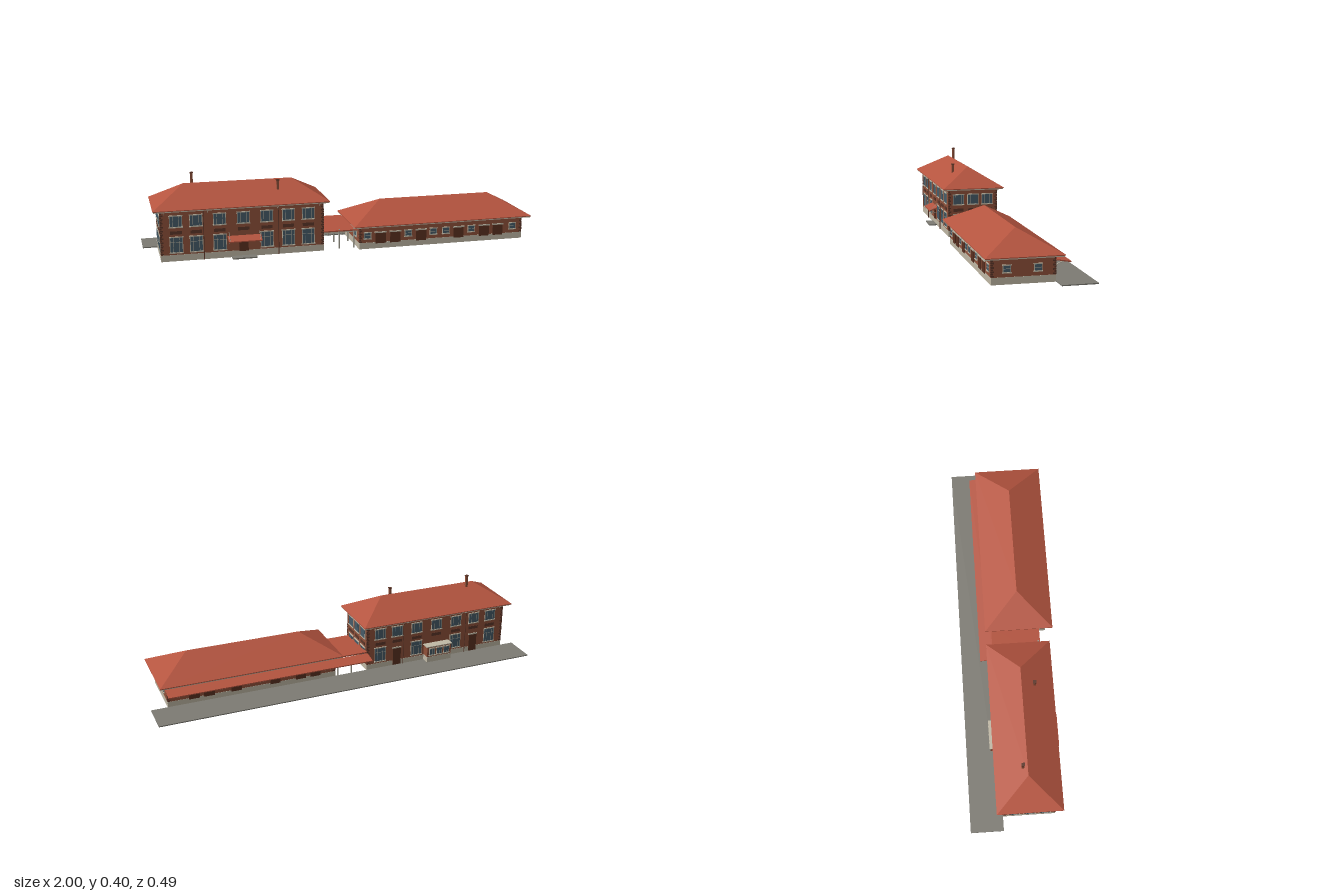
import * as THREE from 'three';

const mat = (name, color) => Object.assign(new THREE.MeshStandardMaterial({ color }), { name });

export function createModel() {
  const brick = mat('brick', 0x8f5039), roofRed = mat('roof red', 0xb4543f), dark = mat('dark brick', 0x5c3629),
    stone = mat('stone trim', 0xc0b8a5), glass = mat('window glass', 0x465b68), door = mat('door brown', 0x5a3020),
    paving = mat('platform paving', 0x7d7b73), metal = mat('painted metal', 0x9a978b);

  const root = new THREE.Group();
  root.name = 'station';

  const group = (name, parent = root) => {
    const g = new THREE.Group();
    g.name = name;
    parent.add(g);
    return g;
  };
  // Box given by its minimum and maximum corners
  const box = (parent, name, m, x0, x1, y0, y1, z0, z1) => {
    const mesh = new THREE.Mesh(new THREE.BoxGeometry(x1 - x0, y1 - y0, z1 - z0), m);
    mesh.position.set((x0 + x1) / 2, (y0 + y1) / 2, (z0 + z1) / 2);
    mesh.name = name;
    parent.add(mesh);
    return mesh;
  };
  // Round bar between two points
  const bar = (parent, name, m, a, b, r) => {
    const p = new THREE.Vector3(...a), q = new THREE.Vector3(...b), d = q.clone().sub(p);
    const mesh = new THREE.Mesh(new THREE.CylinderGeometry(r, r, d.length(), 8), m);
    mesh.position.copy(p).add(q).multiplyScalar(0.5);
    mesh.quaternion.setFromUnitVectors(new THREE.Vector3(0, 1, 0), d.normalize());
    mesh.name = name;
    parent.add(mesh);
  };
  // Thin sloped slab between two z positions, each with its own top height
  const slab = (parent, name, m, x0, x1, z0, y0, z1, y1, t) => {
    const s = new THREE.Shape([[z0, y0], [z0, y0 - t], [z1, y1 - t], [z1, y1]].map(p => new THREE.Vector2(-p[0], p[1])));
    const g = new THREE.ExtrudeGeometry(s, { depth: x1 - x0, bevelEnabled: false });
    g.rotateY(Math.PI / 2).translate(x0, 0, 0);
    const mesh = new THREE.Mesh(g, m);
    mesh.name = name;
    parent.add(mesh);
  };
  // Hipped roof with lip, fascia and soffit
  const hipRoof = (parent, x0, x1, z0, z1, y, top, rx0, rx1) => {
    const zr = (z0 + z1) / 2;
    const a = [x0, y, z1], b = [x1, y, z1], c = [x1, y, z0], d = [x0, y, z0], e = [rx0, top, zr], f = [rx1, top, zr];
    const g = new THREE.BufferGeometry();
    const tris = [a, b, f, a, f, e, c, d, e, c, e, f, b, c, f, d, a, e];
    g.setAttribute('position', new THREE.Float32BufferAttribute(tris.flat(), 3));
    g.computeVertexNormals();
    const mesh = new THREE.Mesh(g, roofRed);
    mesh.name = 'hippedRoof';
    parent.add(mesh);
    box(parent, 'roofLip', roofRed, x0, x1, y - 0.004, y, z0, z1);
    box(parent, 'fasciaAndSoffit', stone, x0 + 0.003, x1 - 0.003, y - 0.009, y - 0.004, z0 + 0.003, z1 - 0.003);
  };
  // Wall group whose local x runs along the wall and local z points outward
  const wall = (parent, name, x, z, turn) => {
    const g = group(name, parent);
    g.position.set(x, 0, z);
    g.rotation.y = turn * Math.PI / 2;
    return g;
  };
  // Window: stone frame with panes, cols and rows as fractions
  const windowAt = (w, u, y0, y1, width, cols, rows) => {
    const g = group('window', w), bar = 0.0045;
    box(g, 'windowFrame', stone, u - width / 2, u + width / 2, y0, y1, -0.002, 0.0025);
    box(g, 'windowSill', stone, u - width / 2 - 0.002, u + width / 2 + 0.002, y0 - 0.003, y0 + 0.002, -0.002, 0.005);
    box(g, 'windowLintel', stone, u - width / 2 - 0.002, u + width / 2 + 0.002, y1 - 0.003, y1 + 0.002, -0.002, 0.004);
    let x = u - width / 2 + bar / 2;
    for (const c of cols) {
      const cw = c * (width - bar);
      let y = y0 + bar / 2;
      for (const r of rows) {
        const rh = r * (y1 - y0 - bar);
        box(g, 'pane', glass, x + bar / 4, x + cw - bar / 4, y + bar / 4, y + rh - bar / 4, 0, 0.0035);
        y += rh;
      }
      x += cw;
    }
  };
  const doorAt = (w, u, y0, y1, width) => {
    const g = group('door', w);
    box(g, 'doorLeaf', door, u - width / 2, u + width / 2, y0, y1, -0.002, 0.003);
    box(g, 'doorLintel', stone, u - width / 2 - 0.004, u + width / 2 + 0.004, y1, y1 + 0.007, -0.002, 0.004);
  };
  // Block with stone base, brick walls and toothed corners
  const block = (parent, x0, x1, z0, z1, top) => {
    box(parent, 'stoneBase', stone, x0 - 0.001, x1 + 0.001, 0, 0.032, z0 - 0.001, z1 + 0.001);
    box(parent, 'brickWalls', brick, x0, x1, 0.032, top, z0, z1);
    const e = 0.0015;
    for (let i = 0, y = 0.034; y + 0.008 < top; i++, y += 0.0095) {
      const l = i % 2 ? 0.009 : 0.015;
      for (const x of [x0 - e, x1 + e - l]) for (const z of [z0 - e, z1 + e - l])
        box(parent, 'cornerBlock', dark, x, x + l, y, y + 0.0075, z, z + l);
    }
  };

  const three = [0.25, 0.5, 0.25];

  // Two-storey building
  const main = group('mainBuilding');
  const X0 = -0.927, X1 = -0.131, Z0 = -0.077, Z1 = 0.182, XC = (X0 + X1) / 2, ZC = (Z0 + Z1) / 2;
  block(main, X0, X1, Z0, Z1, 0.249);
  hipRoof(main, -0.96, -0.104, -0.109, 0.2125, 0.257, 0.352, -0.80, -0.265);
  const bays = [-0.324, -0.228, -0.115, 0, 0.115, 0.222, 0.321];
  const mainFront = wall(main, 'mainFrontWall', XC, Z1, 0), mainBack = wall(main, 'mainBackWall', XC, Z0, 2);
  for (const w of [mainFront, mainBack]) {
    bays.forEach((u, i) => {
      windowAt(w, u, 0.168, 0.225, 0.062, three, [1]);
      box(w, 'brickPanel', dark, u - 0.028, u + 0.028, 0.133, 0.149, -0.002, 0.002);
      if (i === 3) {
        if (w === mainFront) doorAt(w, u, 0.028, 0.086, 0.046);
      } else if (w === mainBack && (i === 1 || i === 5)) doorAt(w, u, 0.006, 0.1, 0.045);
      else windowAt(w, u, 0.042, 0.12, 0.064, three, [0.68, 0.32]);
    });
    for (const u of [-0.193, 0.172]) bar(w, 'downspout', dark, [u, 0, 0.004], [u, 0.248, 0.004], 0.002);
  }
  for (const [x, turn] of [[X1, 1], [X0, 3]]) {
    const w = wall(main, 'mainEndWall', x, ZC, turn);
    for (const u of [-0.077, 0, 0.077]) {
      windowAt(w, u, 0.17, 0.224, 0.06, three, [1]);
      windowAt(w, u, 0.045, 0.12, 0.056, three, [0.68, 0.32]);
      box(w, 'brickPanel', dark, u - 0.026, u + 0.026, 0.133, 0.149, -0.002, 0.002);
    }
  }
  // Eave struts
  for (const x of [X0 + 0.02, -0.7, -0.36, X1 - 0.02]) for (const [z, s] of [[Z0, -1], [Z1, 1]])
    bar(main, 'eaveStrut', stone, [x, 0.232, z], [x, 0.248, z + s * 0.024], 0.002);

  // Chimneys
  for (const [x, z, y0, y1] of [[-0.756, 0.029, 0.31, 0.4], [-0.345, 0.116, 0.29, 0.36]]) {
    const g = group('chimney', main);
    box(g, 'chimneyStack', brick, x - 0.006, x + 0.006, y0, y1 - 0.003, z - 0.006, z + 0.006);
    box(g, 'chimneyCap', dark, x - 0.008, x + 0.008, y1 - 0.004, y1, z - 0.008, z + 0.008);
  }

  // Entrance canopy and step
  const entry = group('entrance', main);
  slab(entry, 'entranceCanopy', roofRed, -0.607, -0.444, Z1, 0.108, 0.227, 0.09, 0.005);
  for (const x of [-0.6, -0.451]) {
    bar(entry, 'canopyBracket', metal, [x, 0.07, Z1], [x, 0.086, 0.222], 0.002);
    bar(entry, 'canopyRod', metal, [x, 0.128, Z1], [x, 0.091, 0.222], 0.0013);
  }
  box(entry, 'entranceStep', paving, -0.59, -0.47, 0, 0.006, Z1, 0.225);

  // Projecting bay on the platform side
  const bay = group('platformBay', main);
  box(bay, 'bayBase', stone, -0.6, -0.458, 0, 0.035, -0.12, Z0);
  box(bay, 'bayWalls', brick, -0.599, -0.459, 0.035, 0.09, -0.119, Z0);
  box(bay, 'bayFlatRoof', stone, -0.603, -0.455, 0.09, 0.095, -0.123, Z0);
  const bayBack = wall(bay, 'bayBackWall', -0.529, -0.119, 2);
  for (const u of [-0.042, 0, 0.042]) windowAt(bayBack, u, 0.044, 0.083, 0.034, [0.5, 0.5], [1]);

  // Single-storey freight building
  const freight = group('freightBuilding');
  const F0 = 0.047, F1 = 0.917, G0 = -0.077, G1 = 0.209, FC = (F0 + F1) / 2;
  block(freight, F0, F1, G0, G1, 0.116);
  hipRoof(freight, 0.014, 0.954, -0.109, 0.243, 0.124, 0.219, 0.193, 0.778);
  const fitments = [[0.088, 0], [0.156, 1], [0.233, 1], [0.301, 0], [0.37, 1], [0.435, 0],
    [0.502, 0], [0.571, 1], [0.64, 0], [0.71, 1], [0.785, 1], [0.866, 0]];
  for (const [z, turn] of [[G1, 0], [G0, 2]]) {
    const w = wall(freight, 'freightLongWall', FC, z, turn);
    for (const [x, isDoor] of fitments) {
      const u = (x - FC) * (turn ? -1 : 1);
      if (isDoor) doorAt(w, u, 0.026, 0.079, 0.054);
      else windowAt(w, u, 0.052, 0.085, 0.038, [1], [0.5, 0.5]);
    }
  }
  for (const [x, turn] of [[F1, 1], [F0, 3]]) {
    const w = wall(freight, 'freightEndWall', x, 0, turn), s = turn === 1 ? -1 : 1;
    for (const z of [0.14, 0.002]) windowAt(w, z * s, 0.052, 0.085, 0.037, [1], [0.5, 0.5]);
  }

  // Covered passage and platform canopy
  const shelter = group('shelter');
  slab(shelter, 'passageRoof', roofRed, X1, F0, -0.077, 0.108, 0.174, 0.095, 0.006);
  slab(shelter, 'platformCanopy', roofRed, -0.134, 0.925, -0.144, 0.0885, -0.077, 0.1, 0.005);
  box(shelter, 'passageBeam', stone, X1, F0, 0.082, 0.09, 0.162, 0.168);
  for (const x of [-0.045, 0.03]) for (const z of [0.165, 0.045, -0.075])
    bar(shelter, 'post', metal, [x, 0, z], [x, 0.098, z], 0.004);
  // Curved canopy brackets
  for (let i = 0; i <= 8; i++) {
    const x = 0.06 + i * 0.105;
    const arc = new THREE.QuadraticBezierCurve3(new THREE.Vector3(x, 0.055, -0.078),
      new THREE.Vector3(x, 0.084, -0.084), new THREE.Vector3(x, 0.086, -0.132));
    const mesh = new THREE.Mesh(new THREE.TubeGeometry(arc, 8, 0.0022, 6), stone);
    mesh.name = 'canopyBracket';
    shelter.add(mesh);
  }

  // Platform
  box(root, 'platform', paving, -1, 1, 0, 0.005, -0.243, -0.078);

  return root;
}
